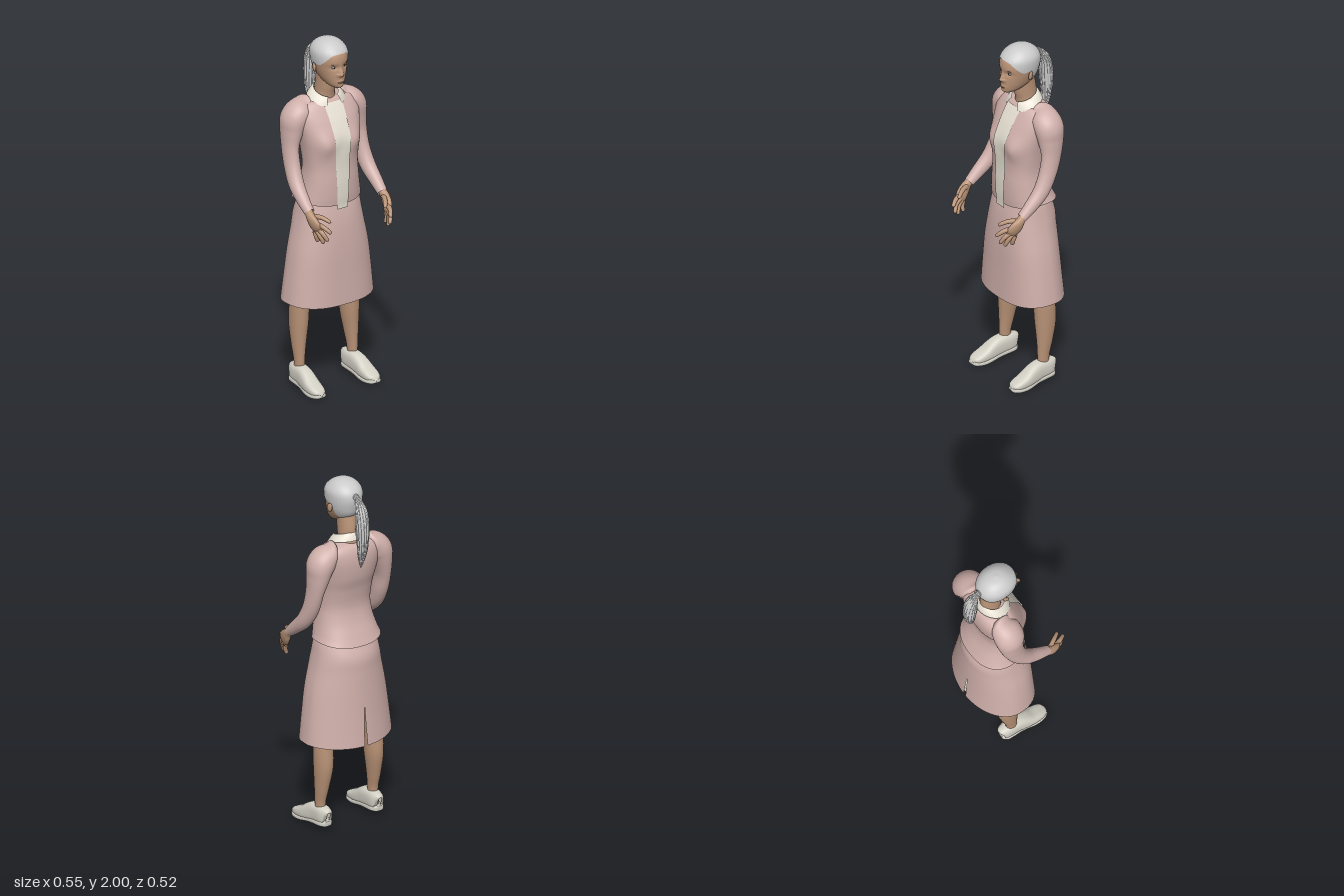
import * as THREE from 'three';

const mat = (color) => new THREE.MeshStandardMaterial({ color, side: THREE.DoubleSide });
const PINK = mat(0xd0b0ab), SKIN = mat(0xb89276), CREAM = mat(0xe6e0d2), SHOE = mat(0xd2cfc4),
  HAIR = mat(0xcccccc), LIP = mat(0x9a6a5a), DARK = mat(0x3a302c), WHITE = mat(0xb9c0c4);

const spow = (v, p) => Math.sign(v) * Math.abs(v) ** p;
const bump = (d, w) => Math.exp(-((d / w) ** 2));
const lerp = THREE.MathUtils.lerp;
const TAU = Math.PI * 2;

// Smooth grid surface: f(u, v) gives a point, u optionally wraps round
function surface(f, nu, nv, closed = true) {
  const pos = [], idx = [], cols = closed ? nu : nu + 1;
  for (let j = 0; j <= nv; j++)
    for (let i = 0; i < cols; i++) pos.push(...f(i / nu, j / nv));
  for (let j = 0; j < nv; j++)
    for (let i = 0; i < nu; i++) {
      const k = (i + 1) % cols, a = j * cols + i, b = j * cols + k;
      idx.push(a, b, b + cols, a, b + cols, a + cols);
    }
  const g = new THREE.BufferGeometry();
  g.setAttribute('position', new THREE.Float32BufferAttribute(pos, 3));
  g.setIndex(idx);
  g.computeVertexNormals();
  return g;
}

// Smoothly interpolates rows keyed by their first value
function track(rows) {
  const slope = (i, c) => {
    const a = rows[Math.max(i - 1, 0)], b = rows[Math.min(i + 1, rows.length - 1)];
    return (b[c] - a[c]) / (b[0] - a[0]);
  };
  return (y) => {
    let i = 0;
    while (i < rows.length - 2 && y > rows[i + 1][0]) i++;
    const a = rows[i], b = rows[i + 1], h = b[0] - a[0];
    const t = THREE.MathUtils.clamp((y - a[0]) / h, 0, 1), s = t * t * (3 - 2 * t);
    return a.map((v, c) => lerp(v, b[c], s) + h * t * (1 - t) * ((1 - t) * slope(i, c) - t * slope(i + 1, c)));
  };
}

// Point on a horizontal section [y, halfWidth, zFront, zBack]; angle 0 is the front
function section([y, w, zf, zb], a, p) {
  return [w * spow(Math.sin(a), p), y, (zf + zb) / 2 + ((zf - zb) / 2) * spow(Math.cos(a), p)];
}

// Tube through [x, y, z, rSide, rOther] stations with elliptical sections
function sweep(stations, { nu = 20, nv = 30, p = 1, ridge = 0, ridges = 0 } = {}) {
  const curve = new THREE.CatmullRomCurve3(stations.map((s) => new THREE.Vector3(...s)));
  const radius = track(stations.map((s, i) => [i, s[3], s[4] ?? s[3]]));
  return surface((u, v) => {
    const a = u * TAU, c = curve.getPoint(v), T = curve.getTangent(v);
    const N = new THREE.Vector3(1, 0, 0).addScaledVector(T, -T.x).normalize();
    const B = new THREE.Vector3().crossVectors(T, N);
    const [, r1, r2] = radius(v * (stations.length - 1)), k = 1 + ridge * Math.cos(a * ridges);
    c.addScaledVector(N, k * r1 * spow(Math.cos(a), p)).addScaledVector(B, k * r2 * spow(Math.sin(a), p));
    return c.toArray();
  }, nu, nv);
}

const headRow = track([
  [1.735, 0.002, 0.03, 0.02], [1.742, 0.025, 0.055, -0.02], [1.757, 0.044, 0.066, -0.06], [1.785, 0.062, 0.069, -0.11],
  [1.815, 0.074, 0.069, -0.138], [1.85, 0.084, 0.067, -0.151], [1.9, 0.091, 0.07, -0.16], [1.94, 0.088, 0.057, -0.153],
  [1.972, 0.067, 0.025, -0.127], [1.991, 0.037, -0.01, -0.09], [1.998, 0.0001, -0.0479, -0.0481]]);

// Face relief: nose, eye sockets, mouth and chin
function headPoint(a, y) {
  const pt = section(headRow(y), a, 0.95);
  if (Math.cos(a) > 0) {
    const x = Math.abs(pt[0]);
    pt[2] += 0.021 * bump(x, y < 1.83 ? 0.017 : 0.013) * bump(y - 1.823, y > 1.823 ? 0.032 : 0.012);
    pt[2] -= 0.009 * bump(x - 0.034, 0.02) * bump(y - 1.864, 0.014);
    pt[2] += 0.005 * bump(x, 0.022) * bump(y - 1.779, 0.01);
    pt[2] += 0.005 * bump(x, 0.02) * bump(y - 1.752, 0.01);
  }
  return pt;
}

const torsoRow = track([
  [1.07, 0.19, 0.078, -0.222], [1.12, 0.178, 0.082, -0.2], [1.2, 0.163, 0.083, -0.168], [1.28, 0.155, 0.08, -0.153],
  [1.38, 0.163, 0.08, -0.165], [1.46, 0.176, 0.076, -0.185], [1.54, 0.192, 0.045, -0.193], [1.595, 0.196, 0.014, -0.189],
  [1.63, 0.17, -0.008, -0.177], [1.648, 0.125, -0.022, -0.16], [1.658, 0.05, -0.035, -0.13]]);

function torsoPoint(a, y) {
  const pt = section(torsoRow(y), a, 0.86);
  if (Math.cos(a) > 0) pt[2] += 0.02 * bump(Math.abs(pt[0]) - 0.095, 0.05) * bump(y - 1.42, 0.06);
  return pt;
}

const skirtRow = track([
  [0.51, 0.267, 0.104, -0.258], [0.65, 0.251, 0.1, -0.246], [0.8, 0.23, 0.097, -0.237], [0.92, 0.205, 0.09, -0.231],
  [1.0, 0.19, 0.08, -0.226], [1.07, 0.178, 0.065, -0.197], [1.13, 0.16, 0.05, -0.165]]);

export function createModel() {
  const root = new THREE.Group();
  const add = (name, geo, material, parent = root) => {
    const m = new THREE.Mesh(geo, material);
    m.name = name;
    parent.add(m);
    return m;
  };
  const blob = (name, material, at, size, parent) => {
    const m = add(name, new THREE.SphereGeometry(1, 20, 14), material, parent);
    m.position.set(...at);
    m.scale.set(...size);
    return m;
  };

  // Head and neck
  add('head', surface((u, v) => headPoint(u * TAU, 1.735 + 0.263 * (v < 0.9 ? v * 1.05 : 0.945 + (v - 0.9) * 0.55)), 96, 90), SKIN);
  add('neck', sweep([[0, 1.58, -0.095, 0.07], [0, 1.67, -0.088, 0.054, 0.062], [0, 1.73, -0.08, 0.05, 0.065], [0, 1.8, -0.07, 0.05, 0.06]]), SKIN);
  blob('lips', LIP, [0, 1.777, 0.069], [0.02, 0.0045, 0.007]);

  // Swept-back hair with a hairline that drops behind the ears
  const hairline = track([[0, 1.937], [0.5, 1.93], [0.95, 1.895], [1.3, 1.868], [1.65, 1.865], [1.95, 1.81], [2.5, 1.78], [3.15, 1.77]]);
  add('hairCap', surface((u, v) => {
    const a = u * TAU, y0 = hairline(Math.min(a, TAU - a))[1];
    const y = lerp(y0, 1.998, Math.sin(v * Math.PI / 2));
    const pt = section(headRow(y), a, 0.95), k = 1.035 + 0.004 * Math.cos(a * 30) * (1 - v);
    return [pt[0] * k, pt[1] + 0.002, -0.045 + (pt[2] + 0.045) * k];
  }, 120, 30), HAIR);
  add('ponytail', sweep([[0, 1.925, -0.13, 0.03, 0.022], [0, 1.92, -0.172, 0.015], [0, 1.865, -0.208, 0.033, 0.03],
    [0, 1.77, -0.22, 0.036, 0.039], [0, 1.65, -0.222, 0.028, 0.03], [0, 1.58, -0.214, 0.016, 0.018], [0, 1.53, -0.208, 0.002]],
  { nu: 96, nv: 50, ridge: 0.05, ridges: 16 }), HAIR);

  // Jacket, front placket and collar
  add('jacket', surface((u, v) => {
    const pt = torsoPoint(u * TAU, lerp(1.07, 1.658, v));
    pt[1] += 0.02 * (1 - v) ** 12 * Math.sin(u * TAU) ** 2;
    return pt;
  }, 80, 80), PINK);
  add('placket', surface((u, v) => {
    const y = lerp(1.05, 1.638, v), x = (u * 2 - 1) * lerp(0.033, 0.058, v);
    const a = Math.asin(spow(x / torsoRow(y)[1], 1 / 0.86));
    return [x, y, torsoPoint(a, Math.max(y, 1.07))[2] + 0.007];
  }, 10, 50, false), CREAM);
  add('collar', surface((u, v) => {
    const a = lerp(0.45, TAU - 0.45, u), front = (1 + Math.cos(a)) / 2;
    const w = lerp(0.064, 0.108, v), d = lerp(0.068, 0.092, v);
    const top = lerp(1.714, 1.668, front), edge = lerp(1.672, 1.618, front ** 1.7);
    return [w * Math.sin(a), lerp(top, edge, v ** 1.6), -0.075 + d * Math.cos(a)];
  }, 48, 8, false), CREAM);

  // Skirt, flatter in front and rounder behind, with a slit at the back
  add('skirt', surface((u, v) => {
    const y = lerp(0.51, 1.13, v), gap = Math.max(0, 0.75 - y) * 0.16;
    const a = lerp(-Math.PI + gap, Math.PI - gap, u);
    const pt = section(skirtRow(y), a, Math.cos(a) > 0 ? 0.78 : 1.02);
    pt[1] -= 0.014 * (1 - v) ** 4 * Math.cos(a) ** 2;
    return pt;
  }, 90, 40, false), PINK);

  // Paired parts, built for the left and mirrored
  for (const side of [1, -1]) {
    const half = new THREE.Group();
    half.name = side > 0 ? 'leftSide' : 'rightSide';
    half.scale.x = side;
    root.add(half);
    const put = (name, stations, material, opts) => add(name, sweep(stations, opts), material, half);

    blob('ear', SKIN, [0.092, 1.847, -0.05], [0.009, 0.026, 0.016], half).rotation.set(-0.2, 0.35, 0);
    blob('eye', WHITE, [0.034, 1.864, 0.0485], [0.014, 0.006, 0.007], half);
    blob('iris', DARK, [0.034, 1.864, 0.0535], [0.005, 0.005, 0.003], half);
    blob('eyebrow', DARK, [0.036, 1.884, 0.057], [0.017, 0.002, 0.004], half).rotation.y = 0.35;

    put('sleeve', [[0.05, 1.59, -0.095, 0.03, 0.05], [0.105, 1.597, -0.095, 0.056, 0.075], [0.155, 1.59, -0.098, 0.069, 0.082],
      [0.188, 1.553, -0.1, 0.074, 0.084], [0.205, 1.49, -0.1, 0.059, 0.075], [0.22, 1.4, -0.092, 0.043, 0.06],
      [0.225, 1.3, -0.065, 0.042, 0.052], [0.232, 1.21, -0.015, 0.041, 0.045], [0.237, 1.14, 0.06, 0.034, 0.036],
      [0.237, 1.095, 0.115, 0.028, 0.028]], PINK, { nu: 32, nv: 60 });

    // Hand with spread fingers
    put('palm', [[0.238, 1.11, 0.095, 0.022, 0.021], [0.242, 1.085, 0.125, 0.023, 0.025], [0.24, 1.055, 0.15, 0.021, 0.037],
      [0.231, 1.025, 0.175, 0.017, 0.038], [0.223, 1.006, 0.192, 0.006, 0.022]], SKIN);
    const fingers = [
      ['indexFinger', [0.226, 1.044, 0.18], [0.213, 1.035, 0.222], [0.195, 1.012, 0.252]],
      ['middleFinger', [0.226, 1.022, 0.183], [0.218, 0.998, 0.215], [0.203, 0.965, 0.234]],
      ['ringFinger', [0.228, 1.008, 0.173], [0.223, 0.978, 0.196], [0.21, 0.944, 0.208]],
      ['littleFinger', [0.232, 1.0, 0.158], [0.229, 0.972, 0.166], [0.22, 0.943, 0.167]],
      ['thumb', [0.23, 1.08, 0.138], [0.205, 1.08, 0.185], [0.18, 1.062, 0.224]]];
    for (const [name, a, b, c] of fingers) {
      const tip = c.map((v, i) => v + (c[i] - b[i]) * 0.15);
      put(name, [[...a, 0.014], [...b, 0.0125], [...c, 0.0095], [...tip, 0.001]], SKIN, { nu: 12, nv: 14 });
    }

    // Leg and shoe
    put('leg', [[0.172, 0.05, -0.08, 0.03, 0.036], [0.172, 0.14, -0.075, 0.027, 0.034], [0.17, 0.24, -0.085, 0.037, 0.047],
      [0.165, 0.36, -0.093, 0.049, 0.063], [0.162, 0.47, -0.088, 0.052, 0.064], [0.153, 0.56, -0.08, 0.054, 0.066],
      [0.125, 0.75, -0.075, 0.07, 0.085], [0.1, 0.95, -0.075, 0.08, 0.09]], SKIN, { nu: 24, nv: 40 });
    put('shoe', [[0.168, 0.075, -0.141, 0.01, 0.03], [0.168, 0.077, -0.136, 0.03, 0.045], [0.169, 0.076, -0.105, 0.04, 0.055],
      [0.171, 0.073, -0.04, 0.042, 0.057], [0.174, 0.063, 0, 0.044, 0.052], [0.177, 0.046, 0.05, 0.047, 0.038],
      [0.178, 0.034, 0.1, 0.044, 0.027], [0.177, 0.027, 0.13, 0.033, 0.019], [0.176, 0.023, 0.143, 0.012, 0.008]], SHOE, { nu: 32, nv: 44, p: 0.75 });
    put('sole', [[0.168, 0.038, -0.144, 0.001, 0.001], [0.168, 0.038, -0.142, 0.022, 0.014], [0.169, 0.037, -0.115, 0.042, 0.015],
      [0.172, 0.028, -0.02, 0.043, 0.014], [0.177, 0.014, 0.06, 0.05, 0.013], [0.178, 0.014, 0.11, 0.046, 0.013],
      [0.177, 0.018, 0.138, 0.03, 0.013], [0.176, 0.02, 0.147, 0.001, 0.001]], SHOE, { nu: 32, nv: 40, p: 0.5 });
  }
  return root;
}
